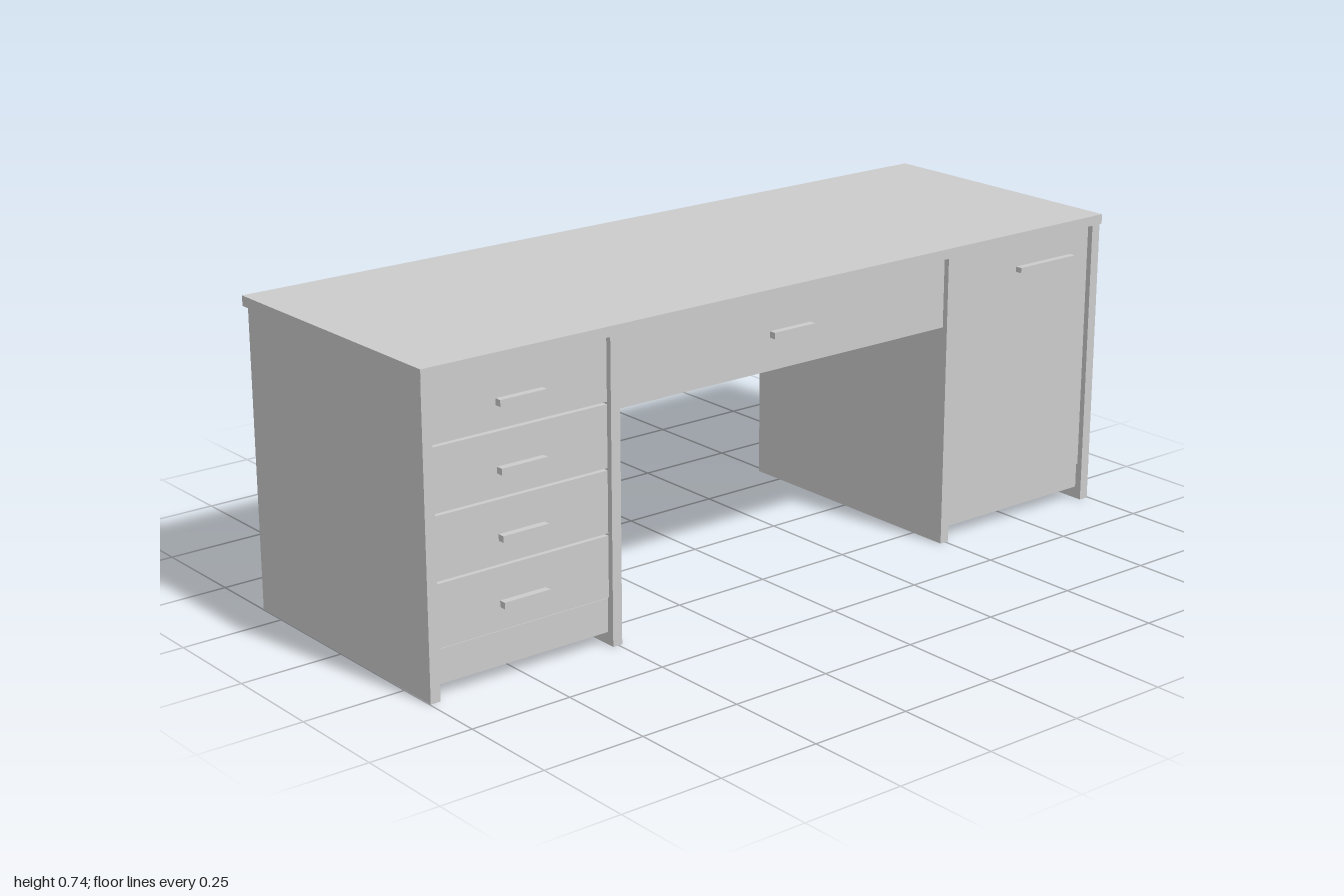
import * as THREE from 'three';

const material = new THREE.MeshStandardMaterial({ color: 0xcccccc, flatShading: true });

// Box given by its extents along each axis
function slab(parent, name, [x0, x1], [y0, y1], [z0, z1]) {
  const mesh = new THREE.Mesh(new THREE.BoxGeometry(x1 - x0, y1 - y0, z1 - z0), material);
  mesh.position.set((x0 + x1) / 2, (y0 + y1) / 2, (z0 + z1) / 2);
  mesh.name = name;
  parent.add(mesh);
  return mesh;
}

const SIDE_Z = [-0.33, 0.346];
const FRONT_Z = [0.312, 0.332];
const HANDLE_Z = [0.332, 0.349];
const BACK_Z = [-0.318, -0.3];
const TOP_Y = 0.714;

// Pedestal carcass: two side panels, base, back and plinth
function pedestal(name, x0, x1, plinthTop) {
  const group = new THREE.Group();
  group.name = name;
  const t = 0.025;
  const inner = [x0 + t, x1 - t];
  slab(group, 'sidePanel', [x0, x0 + t], [0, TOP_Y], SIDE_Z);
  slab(group, 'sidePanel', [x1 - t, x1], [0, TOP_Y], SIDE_Z);
  slab(group, 'basePanel', inner, [0.03, 0.054], [-0.3, 0.308]);
  slab(group, 'backPanel', inner, [0.03, TOP_Y], BACK_Z);
  slab(group, 'plinth', inner, [0.03, plinthTop], [0.308, 0.328]);
  // Recessed filler behind the gaps around the fronts
  slab(group, 'innerFront', inner, [plinthTop, TOP_Y], [0.296, 0.31]);
  return { group, inner };
}

export function createModel() {
  const desk = new THREE.Group();
  desk.name = 'desk';

  slab(desk, 'desktop', [-1, 1], [TOP_Y, 0.738], [-0.35, 0.35]);

  // Drawer pedestal: four stacked drawers
  const drawers = pedestal('drawerPedestal', -0.998, -0.49, 0.11);
  desk.add(drawers.group);
  for (let i = 0; i < 4; i++) {
    const y = 0.113 + i * 0.1505;
    slab(drawers.group, 'drawerFront', drawers.inner, [y, y + 0.145], FRONT_Z);
    slab(drawers.group, 'drawerHandle', [-0.805, -0.685], [y + 0.053, y + 0.068], HANDLE_Z);
  }

  // Cupboard pedestal: one tall door
  const cupboard = pedestal('cupboardPedestal', 0.484, 0.997, 0.09);
  desk.add(cupboard.group);
  slab(cupboard.group, 'door', cupboard.inner, [0.092, 0.71], FRONT_Z);
  slab(cupboard.group, 'doorHandle', [0.725, 0.91], [0.636, 0.649], HANDLE_Z);

  // Centre section: shelf, pencil drawer, back panel and modesty rail
  const centre = new THREE.Group();
  centre.name = 'centreSection';
  desk.add(centre);
  const span = [-0.49, 0.484];
  slab(centre, 'centreShelf', span, [0.54, 0.563], [-0.33, 0.308]);
  slab(centre, 'centreDrawerFront', span, [0.542, 0.71], FRONT_Z);
  slab(centre, 'centreDrawerHandle', [-0.055, 0.065], [0.62, 0.635], HANDLE_Z);
  slab(centre, 'centreBackPanel', span, [0.563, TOP_Y], [-0.308, -0.29]);
  slab(centre, 'modestyRail', span, [0.465, 0.54], [-0.308, -0.286]);

  return desk;
}
